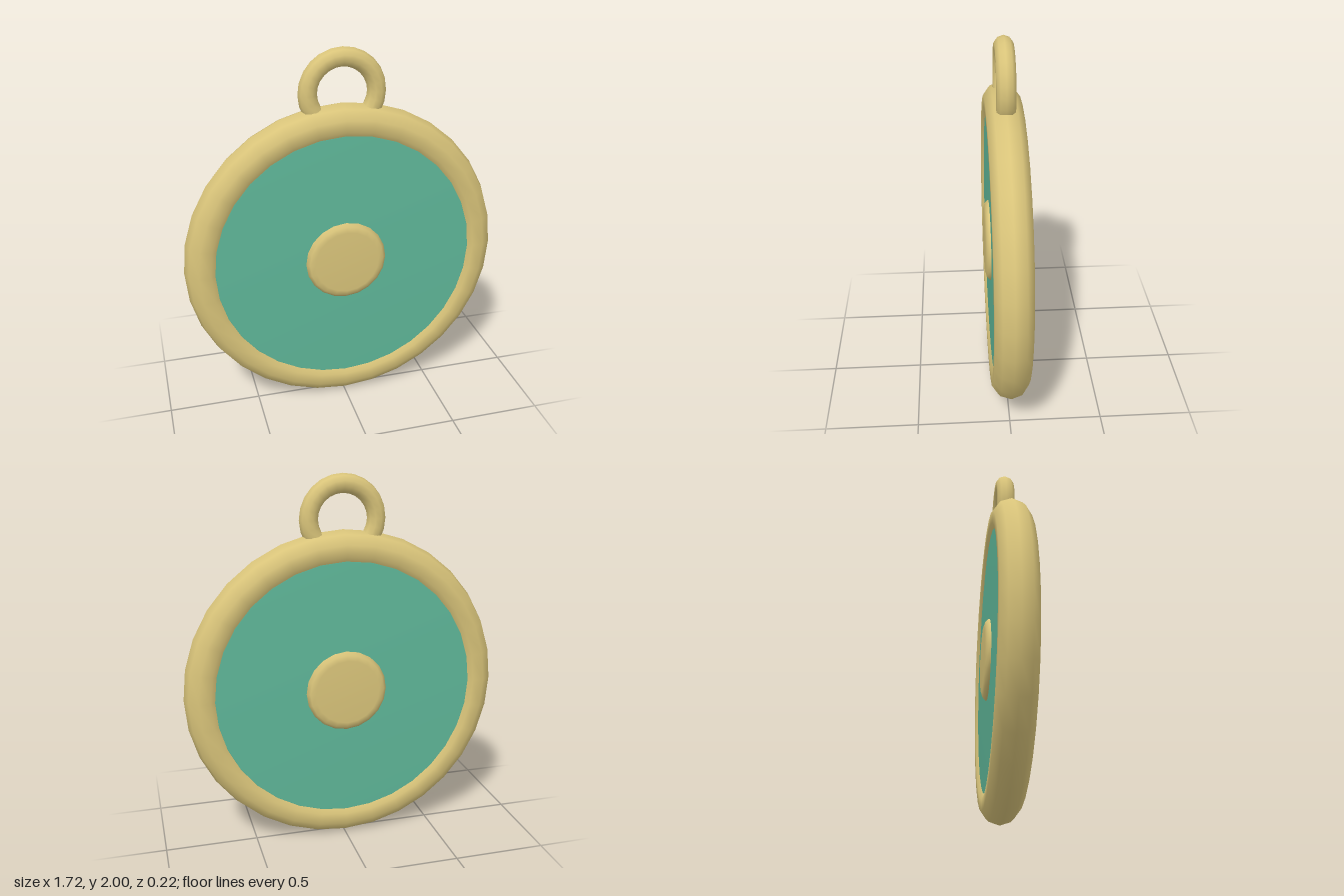
import * as THREE from 'three';

const CENTRE_Y = 0.858;

export function createModel() {
  const gold = new THREE.MeshStandardMaterial({ name: 'gold', color: 0xd9c47a });
  const teal = new THREE.MeshStandardMaterial({ name: 'teal', color: 0x5fb799 });

  const model = new THREE.Group();
  model.name = 'pendant';

  const add = (name, geometry, material, y) => {
    const mesh = new THREE.Mesh(geometry, material);
    mesh.name = name;
    mesh.position.y = y;
    model.add(mesh);
  };

  // Bevelled disc facing both ways along z; the half profile is [radius, depth] from rim to centre
  const disc = (half, segments) => {
    const back = half.slice().reverse().map(([r, d]) => new THREE.Vector2(r, -d));
    const front = half.map(([r, d]) => new THREE.Vector2(r, d));
    return new THREE.LatheGeometry([...back, ...front], segments).rotateX(Math.PI / 2);
  };

  // Round frame
  add('frameRing', new THREE.TorusGeometry(0.759, 0.099, 10, 32), gold, CENTRE_Y);

  // Coloured plate set inside the frame
  add('plate', disc([[0.72, 0.06], [0.7, 0.08], [0, 0.08]], 32), teal, CENTRE_Y);

  // Raised boss on both faces
  add('centreBoss', disc([[0.22, 0.085], [0.203, 0.1], [0.175, 0.109], [0, 0.109]], 20), gold, CENTRE_Y + 0.003);

  // Hanging loop, its lower half sunk into the frame
  add('hangingLoop', new THREE.TorusGeometry(0.18, 0.05, 10, 24), gold, 1.77);

  return model;
}
